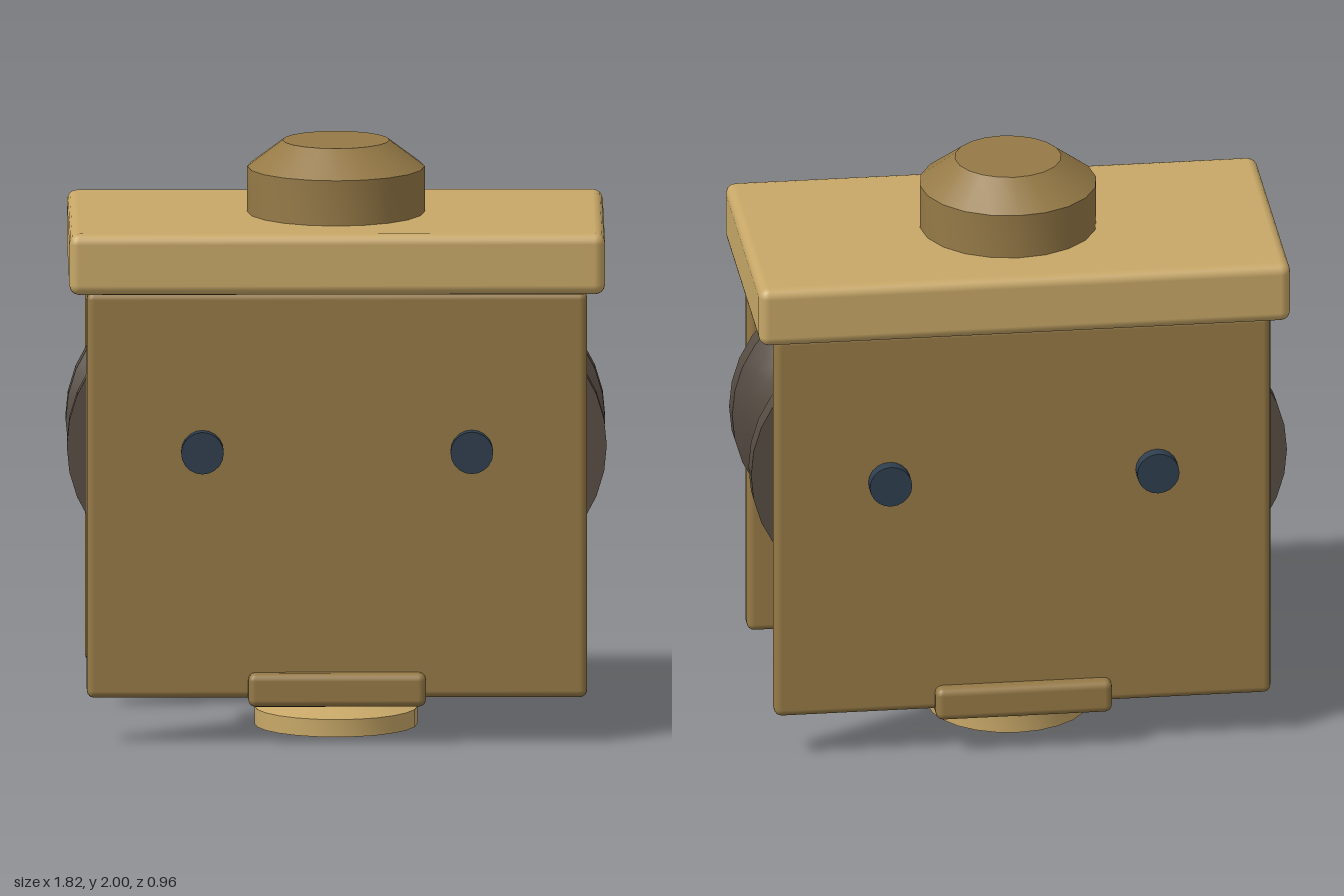
import * as THREE from 'three';
import { toCreasedNormals } from 'three/addons/utils/BufferGeometryUtils.js';
import { RoundedBoxGeometry } from 'three/addons/geometries/RoundedBoxGeometry.js';

const material = (color) => new THREE.MeshStandardMaterial({ color });

export function createModel() {
  const group = new THREE.Group();
  const lightWood = material(0xc8a868);
  const darkWood = material(0x967a47);
  const wheelGrey = material(0x574d43);
  const steel = material(0x2f3e4e);

  function add(name, geometry, mat, x, y, z) {
    const mesh = new THREE.Mesh(geometry, mat);
    mesh.name = name;
    mesh.position.set(x, y, z);
    group.add(mesh);
    return mesh;
  }
  // Profile of [radius, height] pairs, listed bottom to top
  const turned = (profile, sides) => toCreasedNormals(
    new THREE.LatheGeometry(profile.map(([r, h]) => new THREE.Vector2(r, h)), sides), 0.5);

  // Housing
  add('topBeam', new RoundedBoxGeometry(1.81, 0.21, 0.96, 2, 0.035), lightWood, 0, 1.65, 0);
  for (const [name, side] of [['frontPlate', 1], ['backPlate', -1]]) {
    add(name, new RoundedBoxGeometry(1.69, 1.39, 0.08, 2, 0.025), darkWood, 0, 0.85, side * 0.37);
  }
  add('lowerBrace', new RoundedBoxGeometry(0.6, 0.115, 0.91, 2, 0.025), darkWood, 0, 0.188, 0);

  // Turned knob on top and foot below
  add('topKnob', turned([[0, 1.74], [0.3, 1.74], [0.3, 1.91], [0.18, 2], [0, 2]], 20), darkWood, 0, 0, 0);
  add('foot', turned([[0, 0], [0.275, 0], [0.275, 0.06], [0.14, 0.1], [0.14, 0.15], [0, 0.15]], 24),
    lightWood, 0, 0, 0);

  // Grooved wheel profile: flat rims with a circular arc between them
  const arcRadius = 0.233, arcCentre = 0.3 + arcRadius, reach = Math.asin(0.22 / arcRadius);
  const wheelProfile = [[0, -0.3], [0.457, -0.3]];
  for (let i = 0; i <= 12; i++) {
    const a = reach * (i / 6 - 1);
    wheelProfile.push([arcCentre - arcRadius * Math.cos(a), arcRadius * Math.sin(a)]);
  }
  wheelProfile.push([0.457, 0.3], [0, 0.3]);
  const wheel = turned(wheelProfile, 32).rotateX(Math.PI / 2);
  const axle = new THREE.CylinderGeometry(0.072, 0.072, 0.91, 20).rotateX(Math.PI / 2);
  for (const [name, side] of [['left', 1], ['right', -1]]) {
    add(name + 'Wheel', wheel, wheelGrey, side * 0.455, 1.003, 0);
    add(name + 'Axle', axle, steel, side * 0.455, 1.003, 0);
  }
  return group;
}
